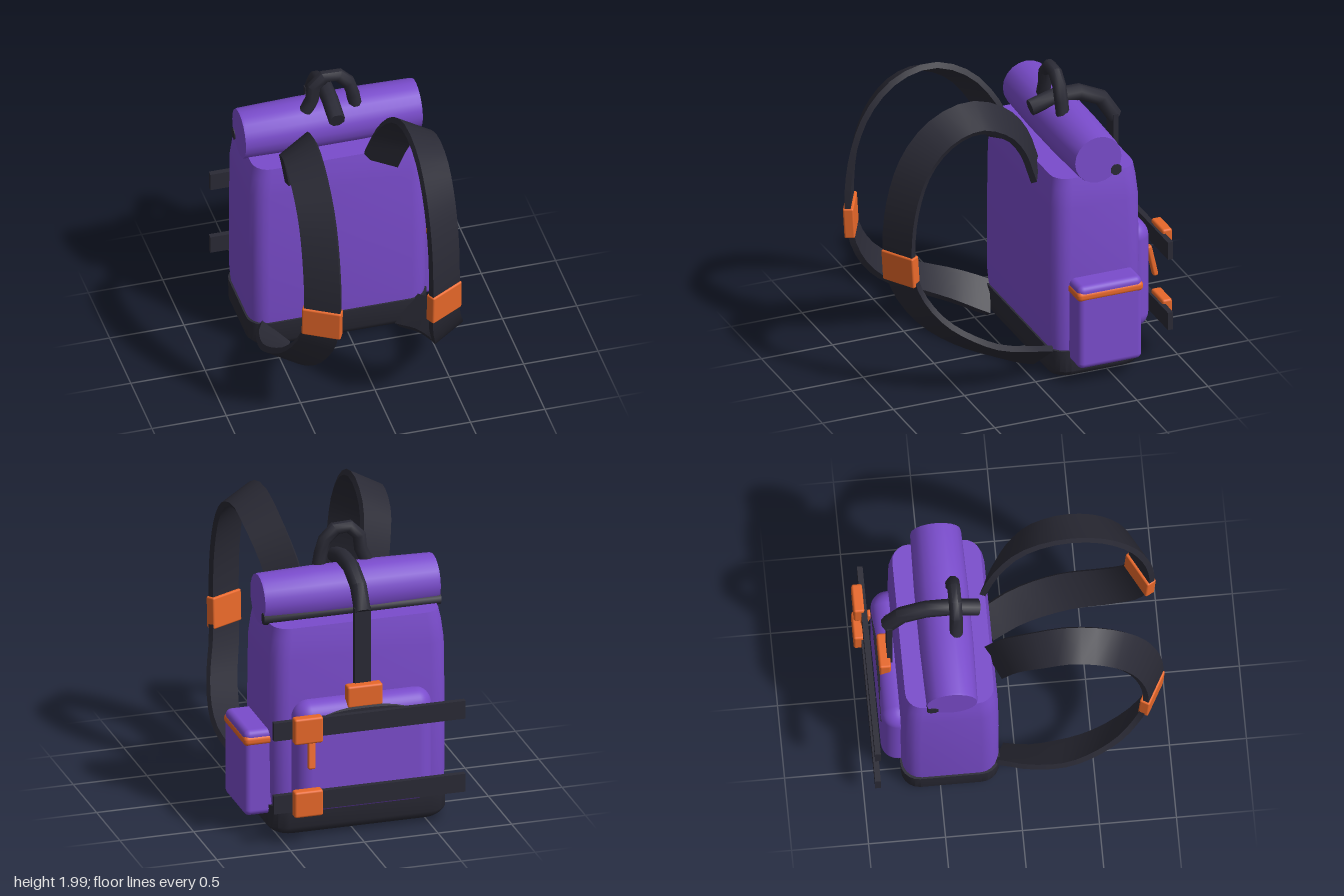
import * as THREE from 'three';
import { toCreasedNormals } from 'three/addons/utils/BufferGeometryUtils.js';
import { RoundedBoxGeometry } from 'three/addons/geometries/RoundedBoxGeometry.js';

const V = (x, y, z) => new THREE.Vector3(x, y, z);
const fabric = new THREE.MeshStandardMaterial({ color: 0x7a4ccc });
const webbing = new THREE.MeshStandardMaterial({ color: 0x2a2a35 });
const accent = new THREE.MeshStandardMaterial({ color: 0xe8682a });

function add(parent, name, geometry, material, x = 0, y = 0, z = 0) {
  const mesh = new THREE.Mesh(geometry, material);
  mesh.name = name;
  mesh.position.set(x, y, z);
  parent.add(mesh);
  return mesh;
}

// Skin a list of rings (counter-clockwise about the travel direction) and cap both ends
function loft(rings, crease = 0.7) {
  const n = rings[0].length, last = (rings.length - 1) * n, index = [];
  for (let i = 0; i < rings.length - 1; i++) {
    for (let j = 0; j < n; j++) {
      const a = i * n + j, b = i * n + (j + 1) % n;
      index.push(a, b, b + n, a, b + n, a + n);
    }
  }
  for (let j = 1; j < n - 1; j++) {
    index.push(0, j + 1, j, last, last + j, last + j + 1);
  }
  const geometry = new THREE.BufferGeometry().setFromPoints(rings.flat());
  geometry.setIndex(index);
  return toCreasedNormals(geometry, crease);
}

// Horizontal rounded rectangle
function roundedRing(y, hw, hd, r) {
  const ring = [], corners = [[1, -1], [-1, -1], [-1, 1], [1, 1]], steps = 5;
  corners.forEach(([sx, sz], c) => {
    for (let k = 0; k <= steps; k++) {
      const t = (c + k / steps) * Math.PI / 2;
      ring.push(V(sx * (hw - r) + r * Math.cos(t), y, sz * (hd - r) - r * Math.sin(t)));
    }
  });
  return ring;
}

// Round rod along a smooth path
function rod(points, radius, segments, sides = 8) {
  const curve = new THREE.CatmullRomCurve3(points);
  const { normals, binormals } = curve.computeFrenetFrames(segments);
  const rings = normals.map((nrm, i) => Array.from({ length: sides }, (_, j) => {
    const t = (j + 0.5) / sides * Math.PI * 2;
    return curve.getPointAt(i / segments)
      .addScaledVector(nrm, radius * Math.cos(t))
      .addScaledVector(binormals[i], radius * Math.sin(t));
  }));
  return loft(rings, 0.9);
}

// Flat shoulder strap whose inner edge rolls away from the body
function shoulderStrapGeometry() {
  const curve = new THREE.CatmullRomCurve3([
    V(0.27, 1.37, -0.12), V(0.33, 1.64, -0.01), V(0.38, 1.82, 0.14), V(0.4, 1.915, 0.36),
    V(0.41, 1.86, 0.58), V(0.41, 1.68, 0.76), V(0.41, 1.38, 0.87), V(0.41, 1.0, 0.895),
    V(0.425, 0.76, 0.84), V(0.49, 0.53, 0.68), V(0.545, 0.34, 0.4), V(0.52, 0.21, 0.1),
    V(0.45, 0.125, -0.1),
  ]);
  const rings = [], steps = 36, halfWidth = 0.12, halfThick = 0.02;
  for (let i = 0; i <= steps; i++) {
    const u = i / steps, p = curve.getPointAt(u), t = curve.getTangentAt(u);
    const tilt = 0.5 + 0.3 * THREE.MathUtils.smoothstep(u, 0.85, 1);
    const out = V(0, t.z, -t.y).normalize(), c = Math.cos(tilt), s = Math.sin(tilt);
    const w = V(c, 0, 0).addScaledVector(out, -s);
    const m = V(s, 0, 0).addScaledVector(out, c);
    rings.push([[-1, -1], [1, -1], [1, 1], [-1, 1]].map(([a, b]) =>
      p.clone().addScaledVector(w, a * halfWidth).addScaledVector(m, b * halfThick)));
  }
  return loft(rings);
}

export function createModel() {
  const model = new THREE.Group();
  model.name = 'backpack';
  const pack = new THREE.Group();
  pack.name = 'pack';
  pack.position.x = -0.055;
  model.add(pack);

  // Main bag and reinforced base
  add(pack, 'body', loft([
    roundedRing(0.15, 0.59, 0.305, 0.12), roundedRing(0.3, 0.6, 0.317, 0.12),
    roundedRing(0.75, 0.602, 0.318, 0.12), roundedRing(1.22, 0.597, 0.313, 0.12),
    roundedRing(1.35, 0.582, 0.302, 0.12), roundedRing(1.43, 0.565, 0.288, 0.11),
  ]), fabric, 0, 0, -0.43);
  add(pack, 'base', loft([
    roundedRing(0, 0.55, 0.285, 0.1), roundedRing(0.015, 0.575, 0.3, 0.11),
    roundedRing(0.05, 0.604, 0.318, 0.12), roundedRing(0.2, 0.606, 0.322, 0.12),
  ]), webbing, 0, 0, -0.43);

  // Rolled top with its closing cord
  const rollProfile = [[0, -0.595], [0.163, -0.595], [0.166, -0.58], [0.175, -0.2],
    [0.175, 0.2], [0.166, 0.58], [0.163, 0.595], [0, 0.595]];
  const roll = new THREE.LatheGeometry(rollProfile.map(([r, y]) => new THREE.Vector2(r, y)), 20);
  add(pack, 'rolledTop', toCreasedNormals(roll.rotateZ(Math.PI / 2), 0.7), fabric, 0, 1.545, -0.425);
  add(pack, 'rollCord', rod([V(-0.6, 1.45, -0.55), V(0.6, 1.45, -0.55)], 0.04, 1), webbing);

  // Carry handle
  add(pack, 'carryHandle', rod([
    V(-0.165, 1.69, -0.36), V(-0.118, 1.8, -0.355), V(-0.11, 1.885, -0.355), V(0, 1.958, -0.355),
    V(0.11, 1.885, -0.355), V(0.145, 1.79, -0.355), V(0.165, 1.68, -0.36),
  ], 0.045, 7), webbing);

  // Strap over the roll and down to its buckle
  add(pack, 'closureLoop', rod([
    V(0, 1.69, -0.2), V(0, 1.745, -0.42), V(0, 1.7, -0.66), V(0, 1.52, -0.79),
  ], 0.055, 4), webbing);
  add(pack, 'closureStrap', new THREE.BoxGeometry(0.11, 0.66, 0.035), webbing, 0, 1.22, -0.78);
  add(pack, 'closureBuckle', new RoundedBoxGeometry(0.24, 0.15, 0.075, 2, 0.015), accent, 0, 0.955, -0.815);

  // Large pocket with arched zip and pull
  add(pack, 'mainPocket', new RoundedBoxGeometry(0.94, 0.77, 0.3, 5, 0.11), fabric, 0, 0.552, -0.718);
  add(pack, 'pocketZip', rod([
    V(-0.38, 0.75, -0.852), V(-0.33, 0.82, -0.852), V(-0.2, 0.86, -0.85),
    V(0.2, 0.86, -0.85), V(0.33, 0.82, -0.852), V(0.38, 0.75, -0.852),
  ], 0.02, 16, 6), webbing);
  const pull = add(pack, 'zipPull', new RoundedBoxGeometry(0.05, 0.22, 0.035, 2, 0.012), accent, 0.38, 0.625, -0.893);
  pull.rotation.set(0.2, 0, 0.06);

  // Side pocket with trimmed rim
  add(pack, 'sidePocket', new RoundedBoxGeometry(0.26, 0.595, 0.45, 3, 0.04), fabric, 0.63, 0.427, -0.445);
  add(pack, 'sidePocketTrim', new RoundedBoxGeometry(0.27, 0.07, 0.465, 3, 0.03), accent, 0.63, 0.655, -0.445);

  // Lashing straps with buckles
  for (const y of [0.3, 0.81]) {
    add(pack, 'lashingStrap', new THREE.BoxGeometry(1.3, 0.125, 0.037), webbing, -0.005, y, -0.912);
    add(pack, 'lashingBuckle', new RoundedBoxGeometry(0.195, 0.18, 0.07, 2, 0.015), accent, 0.422, y, -0.945);
  }

  // Mirrored shoulder straps
  const strap = shoulderStrapGeometry();
  const adjuster = new RoundedBoxGeometry(0.26, 0.215, 0.07, 2, 0.012);
  for (const side of [1, -1]) {
    const half = new THREE.Group();
    half.name = side > 0 ? 'leftShoulderStrap' : 'rightShoulderStrap';
    half.scale.x = side;
    add(half, 'strap', strap, webbing);
    const buckle = add(half, 'strapAdjuster', adjuster, accent, 0.41, 0.94, 0.887);
    buckle.rotation.set(0.06, 0.5, 0);
    pack.add(half);
  }
  return model;
}
